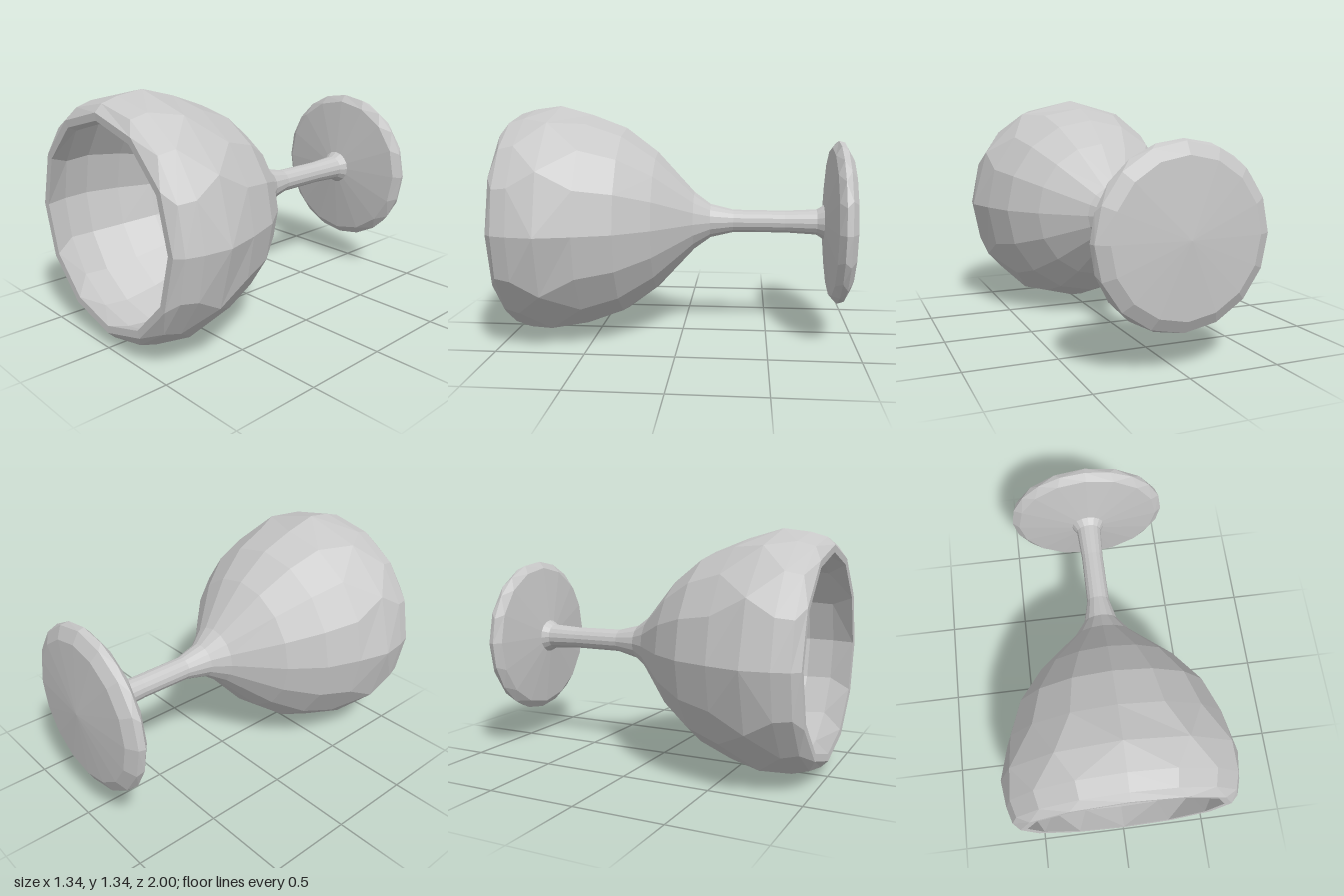
import * as THREE from 'three';

const glass = new THREE.MeshStandardMaterial({ color: 0xc8c8c8, flatShading: true });
glass.name = 'grey glass';

// Each ring is [radius, z, sides]; neighbouring rings may have different side counts.
function ringPoint([r, z, n], i) {
  const a = (i % n) / n * Math.PI * 2;
  return [r * Math.cos(a), r * Math.sin(a), z];
}

function loft(name, rings) {
  const positions = [];
  for (let k = 0; k < rings.length - 1; k++) {
    const a = rings[k], b = rings[k + 1];
    const n = a[2], m = b[2];
    const endA = n === 1 ? 0 : n, endB = m === 1 ? 0 : m;
    let i = 0, j = 0;
    // Walk round both rings, always advancing the one that lags behind
    while (i < endA || j < endB) {
      const stepA = j >= endB || (i < endA && (i + 1) / n <= (j + 1) / m);
      if (stepA) {
        positions.push(...ringPoint(a, i), ...ringPoint(a, i + 1), ...ringPoint(b, j));
        i++;
      } else {
        positions.push(...ringPoint(a, i), ...ringPoint(b, j + 1), ...ringPoint(b, j));
        j++;
      }
    }
  }
  const geometry = new THREE.BufferGeometry();
  geometry.setAttribute('position', new THREE.Float32BufferAttribute(positions, 3));
  geometry.computeVertexNormals();
  const mesh = new THREE.Mesh(geometry, glass);
  mesh.name = name;
  return mesh;
}

export function createModel() {
  const group = new THREE.Group();
  group.name = 'wineGlass';

  // Disc foot with a slightly domed underside
  group.add(loft('foot', [
    [0, -1, 1], [0.4, -0.972, 16], [0.465, -0.935, 16], [0.475, -0.9, 20],
    [0.435, -0.866, 16], [0.1, -0.825, 16],
  ]));

  // Slim stem flaring at both ends
  group.add(loft('stem', [
    [0.1, -0.825, 16], [0.075, -0.785, 16], [0.065, -0.6, 16],
    [0.067, -0.3, 16], [0.1, -0.165, 16], [0.17, -0.07, 16],
  ]));

  // Outside of the bowl
  group.add(loft('bowlOutside', [
    [0.17, -0.07, 16], [0.405, 0.145, 16], [0.545, 0.33, 16], [0.62, 0.53, 16],
    [0.672, 0.72, 12], [0.652, 0.87, 16], [0.625, 0.96, 16], [0.585, 1, 12],
  ]));

  // Flat lip between the two walls
  group.add(loft('rim', [[0.585, 1, 12], [0.545, 0.998, 12]]));

  // Inside of the bowl
  group.add(loft('bowlInside', [
    [0.545, 0.998, 12], [0.59, 0.87, 16], [0.61, 0.72, 16], [0.57, 0.53, 16],
    [0.5, 0.34, 16], [0.387, 0.18, 20], [0.25, 0.06, 20], [0.1, -0.015, 16], [0, -0.03, 1],
  ]));

  // The glass lies on its side, mouth to the front
  group.position.y = 0.672;
  const model = new THREE.Group();
  model.add(group);
  return model;
}
